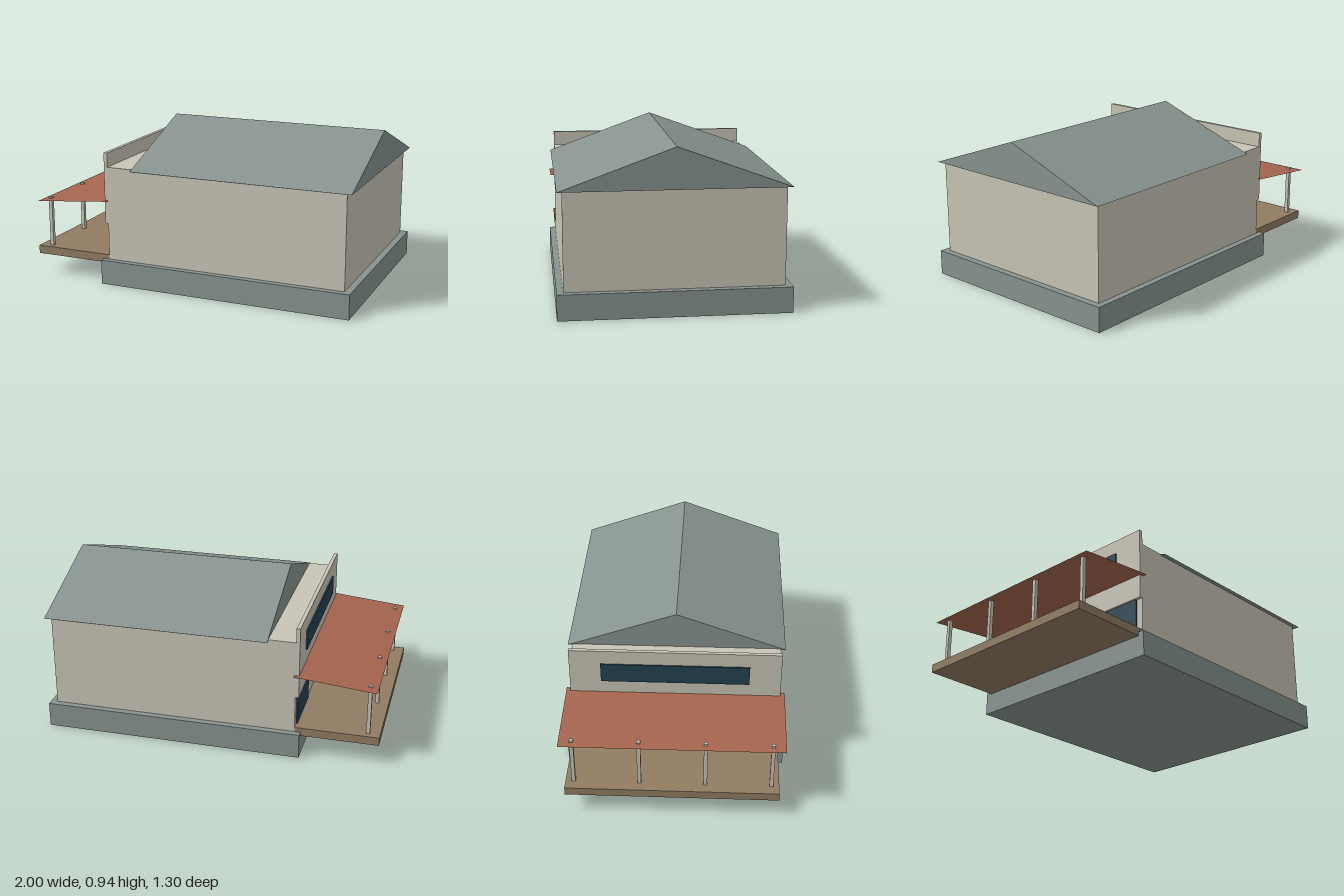
import * as THREE from 'three';

const mat = (name, color, side = THREE.FrontSide) => {
  const m = new THREE.MeshStandardMaterial({ color, side });
  m.name = name;
  return m;
};

export function createModel() {
  const house = new THREE.Group();
  house.name = 'house';

  const slate = mat('slate grey', 0x87938f);
  const plaster = mat('plaster', 0xc8c4b6);
  const timber = mat('deck timber', 0x917c62);
  const terracotta = mat('terracotta', 0xa5654e, THREE.DoubleSide);
  const glass = mat('dark glass', 0x234250);

  const add = (name, geometry, material) => {
    const mesh = new THREE.Mesh(geometry, material);
    mesh.name = name;
    house.add(mesh);
    return mesh;
  };
  // Box given by its lower and upper limits on each axis
  const box = (name, material, [x0, x1], [y0, y1], [z0, z1]) => {
    const mesh = add(name, new THREE.BoxGeometry(x1 - x0, y1 - y0, z1 - z0), material);
    mesh.position.set((x0 + x1) / 2, (y0 + y1) / 2, (z0 + z1) / 2);
    return mesh;
  };

  // Main body
  box('foundation', slate, [-0.545, 0.997], [0, 0.148], [-0.65, 0.65]);
  box('walls', plaster, [-0.51, 0.957], [0.148, 0.714], [-0.612, 0.612]);
  box('parapetWall', plaster, [-0.53, -0.508], [0.37, 0.8], [-0.612, 0.612]);

  // Gable roof: solid triangular prism running along x
  const gable = new THREE.Shape([
    new THREE.Vector2(-0.64, 0.707),
    new THREE.Vector2(0.64, 0.707),
    new THREE.Vector2(0, 0.94),
  ]);
  const roof = new THREE.ExtrudeGeometry(gable, { depth: 1.337, bevelEnabled: false });
  roof.rotateY(Math.PI / 2).translate(-0.347, 0, 0);
  add('gableRoof', roof, slate);

  // Porch deck and posts
  box('deck', timber, [-1, -0.509], [0.125, 0.175], [-0.612, 0.612]);
  for (let i = 0; i < 4; i++) {
    const z = -0.565 + i * 0.377;
    box('porchPost', plaster, [-0.941, -0.919], [0.175, 0.48], [z - 0.011, z + 0.011]);
  }

  // Thin awning sloping down away from the wall
  const dx = 0.475, dy = 0.045;
  const awning = add('awning', new THREE.PlaneGeometry(Math.hypot(dx, dy), 1.276).rotateX(-Math.PI / 2), terracotta);
  awning.rotation.z = Math.atan2(dy, dx);
  awning.position.set(-0.7405, 0.4885, 0);

  // Glazing on the porch side
  box('upperWindow', glass, [-0.539, -0.53], [0.592, 0.712], [-0.43, 0.43]);
  for (const s of [-1, 1]) {
    const pane = box('lowerWindow', glass, [-0.519, -0.51], [0.18, 0.37], [-0.165, 0.165]);
    pane.position.z = s * 0.405;
  }

  return house;
}
